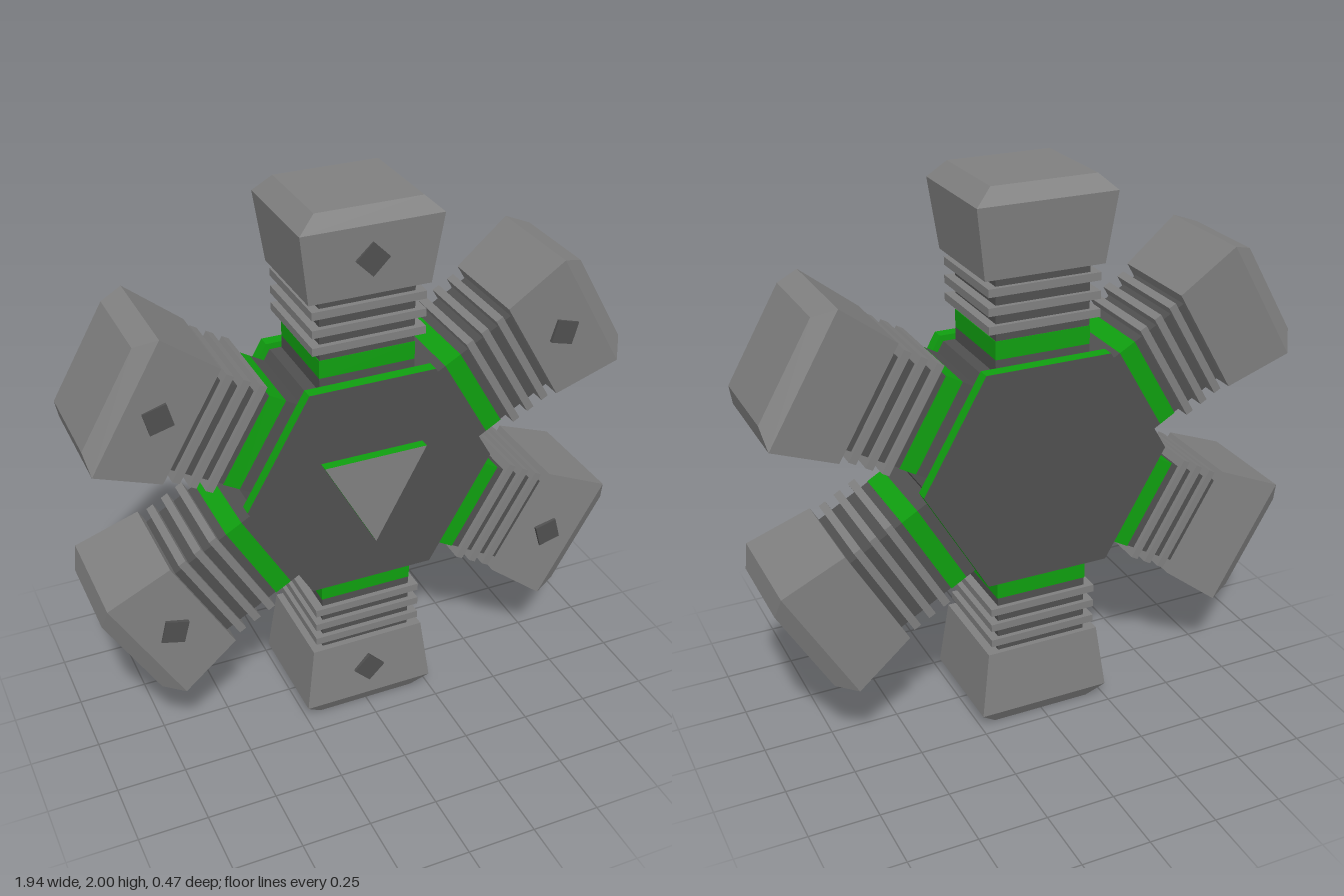
import * as THREE from 'three';

const paint = (name, color) => {
  const m = new THREE.MeshStandardMaterial({ color });
  m.name = name;
  return m;
};

export function createModel() {
  const dark = paint('dark grey', 0x505050);
  const mid = paint('mid grey', 0x808080);
  const green = paint('green', 0x10a010);
  const model = new THREE.Group();
  model.name = 'hubWithSixArms';

  const add = (parent, name, geometry, material) => {
    const mesh = new THREE.Mesh(geometry, material);
    mesh.name = name;
    parent.add(mesh);
    return mesh;
  };

  // box spanning r0..r1 along the arm, half width hw, from z0 to z1
  const block = (hw, r0, r1, z0, z1) =>
    new THREE.BoxGeometry(2 * hw, r1 - r0, z1 - z0).translate(0, (r0 + r1) / 2, (z0 + z1) / 2);

  // hexagonal prism facing z, with corners on the x axis
  const hexPrism = (radius, z0, z1) => {
    const g = new THREE.CylinderGeometry(radius, radius, z1 - z0, 6, 1, false, Math.PI / 2)
      .rotateX(Math.PI / 2).translate(0, 0, (z0 + z1) / 2).toNonIndexed();
    g.computeVertexNormals();
    return g;
  };

  // faceted solid through rectangular sections [y, half width, back z, front z]
  const loft = (sections) => {
    const rings = sections.map(([y, w, b, f]) => [[-w, y, f], [w, y, f], [w, y, b], [-w, y, b]]);
    const pos = [];
    const quad = (a, b, c, d) => pos.push(...a, ...b, ...c, ...a, ...c, ...d);
    for (let i = 0; i < rings.length - 1; i++) {
      const lo = rings[i], hi = rings[i + 1];
      for (let j = 0; j < 4; j++) {
        const k = (j + 1) % 4;
        quad(lo[j], lo[k], hi[k], hi[j]);
      }
    }
    const first = rings[0], last = rings[rings.length - 1];
    quad(first[3], first[2], first[1], first[0]);
    quad(last[0], last[1], last[2], last[3]);
    const g = new THREE.BufferGeometry();
    g.setAttribute('position', new THREE.Float32BufferAttribute(pos, 3));
    g.computeVertexNormals();
    return g;
  };

  // hub: dark core between two green plates with dark outer faces
  const hub = new THREE.Group();
  hub.name = 'hub';
  hub.position.y = 1;
  model.add(hub);
  add(hub, 'hubCore', hexPrism(0.43, -0.2, 0.17), dark);
  add(hub, 'frontPlate', hexPrism(0.455, 0.157, 0.2), [green, dark, green]);
  add(hub, 'backPlate', hexPrism(0.455, -0.235, -0.19), [green, green, dark]);

  // raised triangle with grey face and green sides
  const triangle = new THREE.Shape([[-0.19, 0.125], [0, -0.22], [0.185, 0.125]]
    .map(([x, y]) => new THREE.Vector2(x, y)));
  add(hub, 'triangleBadge',
    new THREE.ExtrudeGeometry(triangle, { depth: 0.045, bevelEnabled: false }).translate(0, 0, 0.19),
    [mid, green]);

  // six arms around the hub
  for (let i = 0; i < 6; i++) {
    const arm = new THREE.Group();
    arm.name = 'arm' + (i + 1);
    const angle = i * Math.PI / 3;
    const shift = i % 3 ? 0.013 : 0;
    arm.rotation.z = angle;
    arm.position.set(-Math.sin(angle) * shift, Math.cos(angle) * shift, 0);
    hub.add(arm);

    add(arm, 'armBase', block(0.172, 0.33, 0.42, -0.185, 0.15), dark);
    add(arm, 'armBand', block(0.172, 0.42, 0.485, -0.185, 0.15), green);
    add(arm, 'armShaft', block(0.17, 0.485, 0.71, -0.183, 0.148), dark);
    for (const r of [0.53, 0.593, 0.657]) {
      add(arm, 'armRib', block(0.202, r - 0.014, r + 0.014, -0.2, 0.167), mid);
    }
    add(arm, 'armCap', loft([
      [0.7, 0.215, -0.203, 0.172],
      [0.945, 0.248, -0.222, 0.19],
      [1, 0.187, -0.188, 0.158],
    ]), mid);
    // diamond inset on the front of the cap
    add(arm, 'capDiamond',
      new THREE.BoxGeometry(0.084, 0.084, 0.03).rotateZ(Math.PI / 4).translate(0, 0.828, 0.176), dark);
  }
  return model;
}
